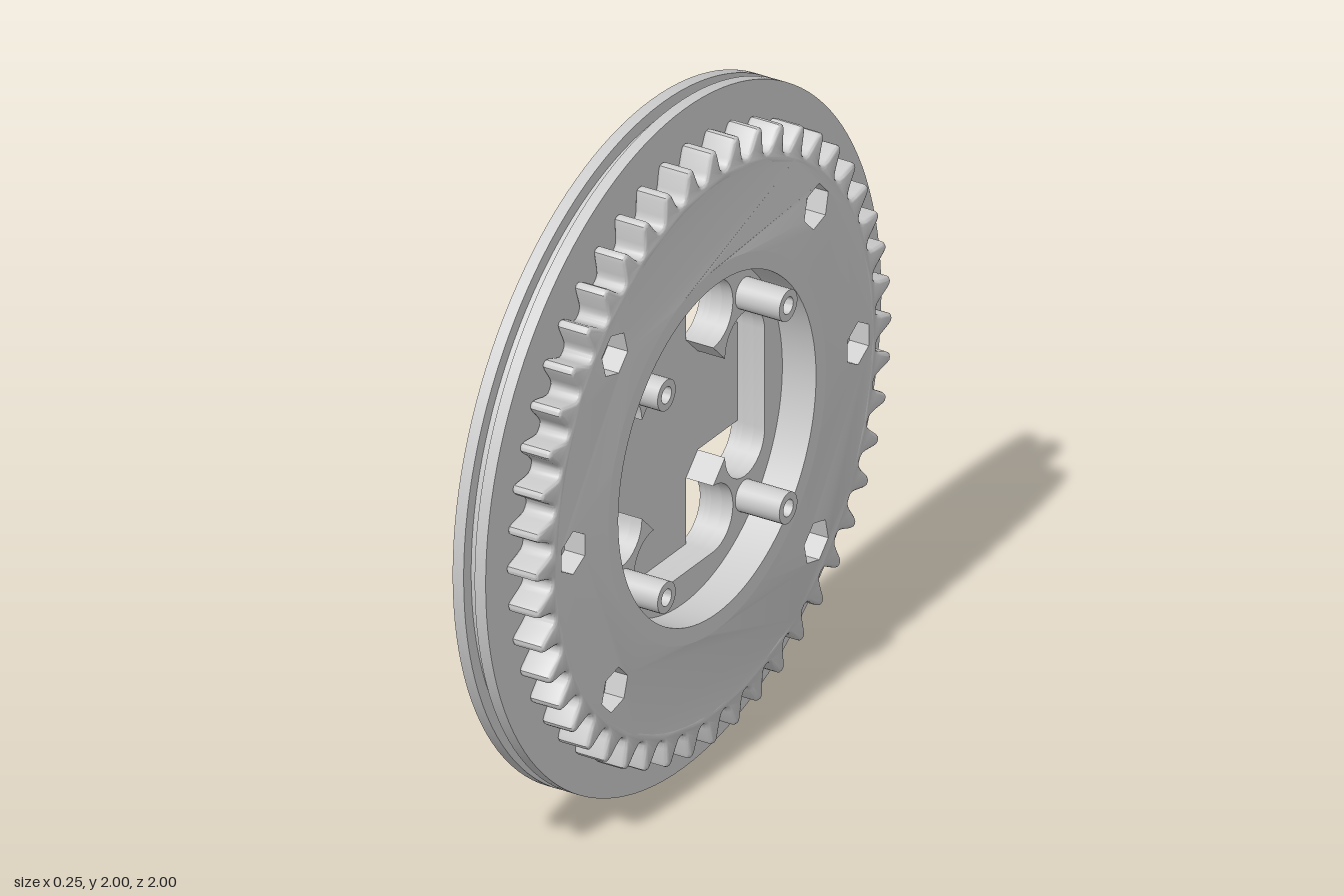
import * as THREE from 'three';
import { toCreasedNormals } from 'three/addons/utils/BufferGeometryUtils.js';

const TAU = Math.PI * 2;
const material = new THREE.MeshStandardMaterial({ color: 0xcccccc });

const polar = (r, a) => new THREE.Vector2(r * Math.cos(a), r * Math.sin(a));

function circle(r, x = 0, y = 0, n = 24) {
  return Array.from({ length: n }, (_, i) => new THREE.Vector2(x, y).add(polar(r, i / n * TAU)));
}

function arc(x, y, r, from, to, n = 16) {
  return Array.from({ length: n + 1 }, (_, i) =>
    new THREE.Vector2(x, y).add(polar(r, from + (to - from) * i / n)));
}

// Plate between x0 and x1 along the axle, cut by the given hole outlines
function plate(name, outline, holes, x0, x1, bevel = 0, warp = null) {
  const shape = new THREE.Shape(outline);
  shape.holes = holes.map((h) => new THREE.Path(h));
  const geo = new THREE.ExtrudeGeometry(shape, {
    depth: x1 - x0 - 2 * bevel, bevelEnabled: bevel > 0,
    bevelThickness: bevel, bevelSize: bevel, bevelOffset: -bevel, bevelSegments: 3,
  });
  geo.translate(0, 0, x0 + bevel);
  if (warp) warp(geo.attributes.position);
  geo.rotateY(Math.PI / 2);
  const mesh = new THREE.Mesh(toCreasedNormals(geo, 0.6), material);
  mesh.name = name;
  return mesh;
}

export function createModel() {
  const model = new THREE.Group();
  model.name = 'gearWheel';
  const wheel = new THREE.Group();
  wheel.name = 'wheel';
  wheel.position.y = 1;
  model.add(wheel);

  const corners = [45, 135, 225, 315].map((d) => d / 360 * TAU);
  const postCentres = corners.map((a) => polar(0.435, a));

  // Bolt holes through the pulley disc
  const postHoles = postCentres.map((p) => circle(0.025, p.x, p.y));
  const boltHoles = [
    ...corners.map((a) => polar(0.72, a)),
    ...[90, 270].map((d) => polar(0.71, d / 360 * TAU)),
    ...[112.5, 157.5, 292.5, 337.5].map((d) => polar(0.77, d / 360 * TAU)),
  ].map((p) => circle(0.053, p.x, p.y));

  // Half-round windows beside the cross arms, and the cross pocket around them
  const windows = [];
  const pocket = [];
  const H = Math.PI / 2;
  for (let q = 0; q < 4; q++) {
    const turn = (pts) => pts.map((p) => p.clone().rotateAround(new THREE.Vector2(), q * H));
    const side = arc(0.31, 0.15, 0.1, 0, Math.PI);
    const top = arc(0.15, 0.31, 0.1, -H, H);
    windows.push(turn(side), turn(top));
    pocket.push(...turn([...side, ...top]));
  }

  // Pulley disc with rope groove
  const rim = circle(1, 0, 0, 128);
  const grooveRim = circle(0.962, 0, 0, 128);
  const through = [pocket, ...postHoles, ...boltHoles];
  wheel.add(
    plate('backPlate', rim, [...windows, ...postHoles, ...boltHoles], -0.125, -0.107),
    plate('backFlange', rim, through, -0.107, -0.09),
    plate('grooveCore', grooveRim, through, -0.09, -0.055),
    plate('frontFlange', rim, through, -0.055, -0.02),
  );

  // Toothed ring with rounded edges
  const half = [[0.09, 0.897], [0.15, 0.885], [0.27, 0.845], [0.34, 0.829], [0.41, 0.823]];
  const tooth = [
    ...half.map(([f, r]) => [-f, r]).reverse(), [0, 0.9], ...half, [0.5, 0.821],
  ];
  const teeth = [];
  for (let i = 0; i < 48; i++) {
    for (const [f, r] of tooth) teeth.push(polar(r, (i + f) / 48 * TAU));
  }
  wheel.add(plate('toothedRing', teeth, [circle(0.785, 0, 0, 96)], -0.02, 0.08, 0.011));

  // Gear web: bolt holes below, hexagonal nut recesses above, face slightly coned
  const nutAngles = [0, Math.PI, ...corners];
  const hexes = nutAngles.map((a) => {
    const c = polar(0.72, a);
    return Array.from({ length: 6 }, (_, i) => c.clone().add(polar(0.065, a + H + i / 6 * TAU)));
  });
  const smallHoles = nutAngles.map((a) => {
    const c = polar(0.72, a);
    return circle(0.031, c.x, c.y);
  });
  const webRim = circle(0.806, 0, 0, 96);
  const cone = (pos) => {
    for (let i = 0; i < pos.count; i++) {
      if (pos.getZ(i) < 0.07) continue;
      const r = Math.hypot(pos.getX(i), pos.getY(i));
      pos.setZ(i, 0.08 + 0.007 * THREE.MathUtils.clamp((0.806 - r) / 0.256, 0, 1));
    }
  };
  const hub = circle(0.55, 0, 0, 96);
  wheel.add(
    plate('webBase', webRim, [hub, ...smallHoles], -0.02, 0.02),
    plate('webFace', webRim, [hub, ...hexes], 0.02, 0.08, 0, cone),
    plate('hubRing', hub, [circle(0.5, 0, 0, 96)], -0.02, 0.087),
  );

  // Hollow screw posts
  postCentres.forEach((p, i) => {
    wheel.add(plate('screwPost' + (i + 1), circle(0.046, p.x, p.y), [postHoles[i]], -0.02, 0.12));
  });

  return model;
}
